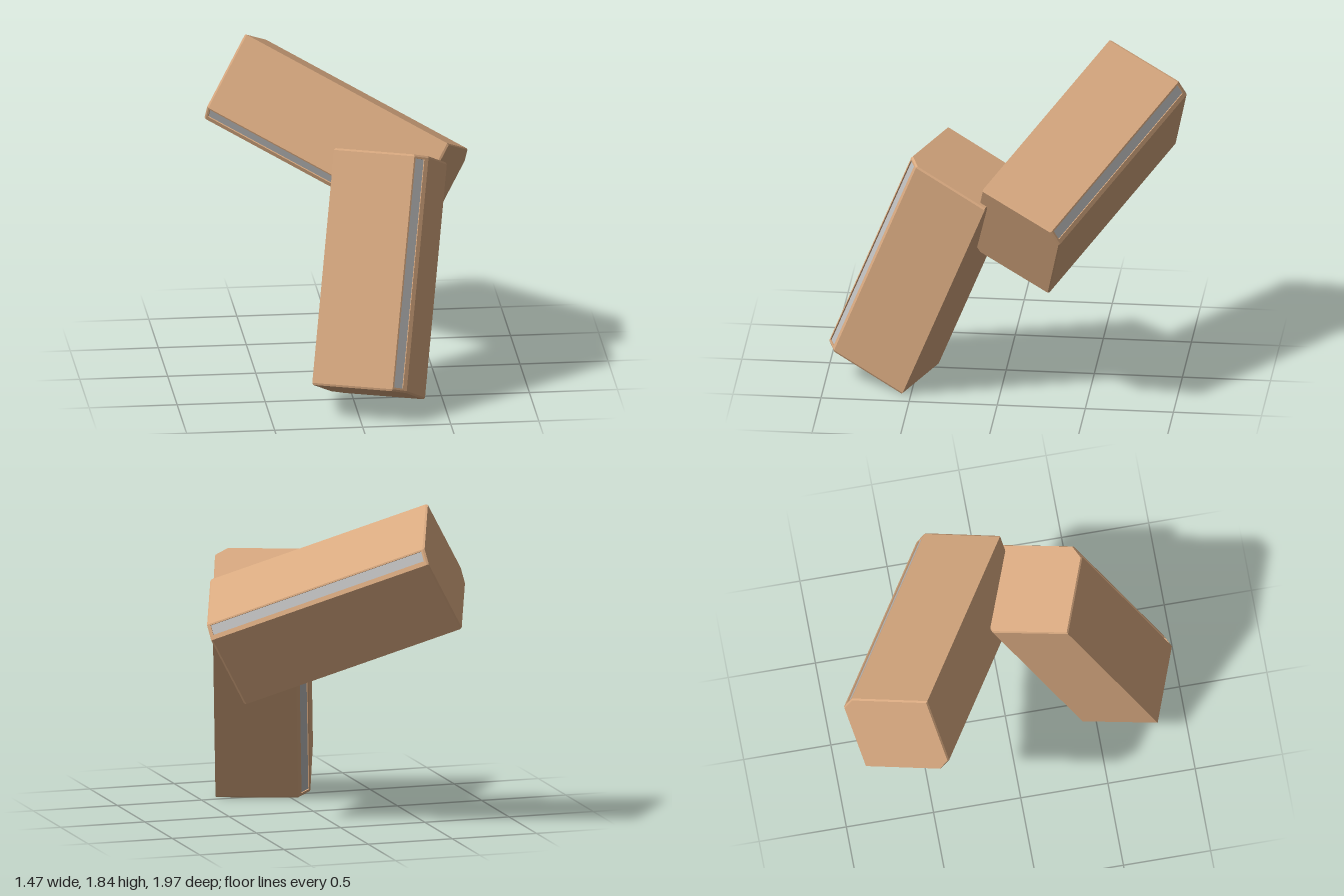
import * as THREE from 'three';

const H = 0.267;      // half width of the square block
const C = 0.067;      // chamfer on two opposite edges
const LEN = 1.345;    // block length
const CAP = 0.022;    // solid end beyond each groove
const DEPTH = 0.012;  // groove depth

const wood = new THREE.MeshStandardMaterial({ color: 0xd8a980 });
wood.name = 'tan wood';
const metal = new THREE.MeshStandardMaterial({ color: 0xbebebe });
metal.name = 'grey metal';

// Point on the chamfer: f along its width, d below its surface
const onChamfer = (f, d) => [H - C + C * f - d * Math.SQRT1_2, -H + C * f + d * Math.SQRT1_2];
const mirror = (pts) => pts.map(([x, y]) => [y, x]).reverse();
const shape = (pts) => new THREE.Shape(pts.map(([x, y]) => new THREE.Vector2(x, y)));

const edge = [onChamfer(0, 0), onChamfer(1, 0)];
const groovedEdge = [
  onChamfer(0, 0), onChamfer(0.1, 0), onChamfer(0.1, DEPTH),
  onChamfer(0.72, DEPTH), onChamfer(0.72, 0), onChamfer(1, 0),
];
const stripSection = [
  onChamfer(0.1, DEPTH), onChamfer(0.72, DEPTH),
  onChamfer(0.72, DEPTH - 0.005), onChamfer(0.1, DEPTH - 0.005),
];
const section = (e) => shape([[-H, -H], ...e, [H, H], ...mirror(e)]);

function addMesh(parent, name, geometry, material) {
  const mesh = new THREE.Mesh(geometry, material);
  mesh.name = name;
  parent.add(mesh);
  return mesh;
}

// End cap with a finely softened outer rim
function capGeometry() {
  const geo = new THREE.ExtrudeGeometry(section(edge), { depth: CAP, steps: 2, bevelEnabled: false });
  const pos = geo.attributes.position;
  for (let i = 0; i < pos.count; i++) {
    if (pos.getZ(i) > CAP * 0.9) pos.setXY(i, pos.getX(i) * 0.98, pos.getY(i) * 0.98);
  }
  geo.computeVertexNormals();
  return geo;
}

// Grooved block; v and w are the directions of its cross-section
function block(name, center, v, w) {
  const group = new THREE.Group();
  group.name = name;
  const inner = LEN - 2 * CAP;
  const options = { depth: inner, bevelEnabled: false };

  addMesh(group, 'blockBody', new THREE.ExtrudeGeometry(section(groovedEdge), options)
    .translate(0, 0, -inner / 2), wood);

  const cap = capGeometry().translate(0, 0, inner / 2);
  addMesh(group, 'endCap', cap, wood);
  // Turning about the diagonal swaps the two chamfered edges
  const farCap = cap.clone().applyMatrix4(new THREE.Matrix4().makeRotationAxis(
    new THREE.Vector3(1, 1, 0).normalize(), Math.PI));
  addMesh(group, 'endCap', farCap, wood);

  // Metal strips lying in the grooves
  for (const pts of [stripSection, mirror(stripSection)]) {
    addMesh(group, 'grooveStrip', new THREE.ExtrudeGeometry(shape(pts), options)
      .translate(0, 0, -inner / 2), metal);
  }

  const z = new THREE.Vector3().crossVectors(v, w).normalize();
  const x = v.clone().normalize();
  const y = new THREE.Vector3().crossVectors(z, x);
  group.quaternion.setFromRotationMatrix(new THREE.Matrix4().makeBasis(x, y, z));
  group.position.copy(center);
  return group;
}

export function createModel() {
  const V = (x, y, z) => new THREE.Vector3(x, y, z);
  const model = new THREE.Group();
  model.name = 'hingedBlocks';
  model.add(
    block('lowerBlock', V(0.155, 0.736, 0.445), V(0.94, 0, 0.342), V(0.315, -0.388, -0.866)),
    block('upperBlock', V(0, 1.285, -0.465 + 0.05), V(0.326, -0.37, -0.87), V(-0.489, -0.853, 0.19)),
  );
  return model;
}
